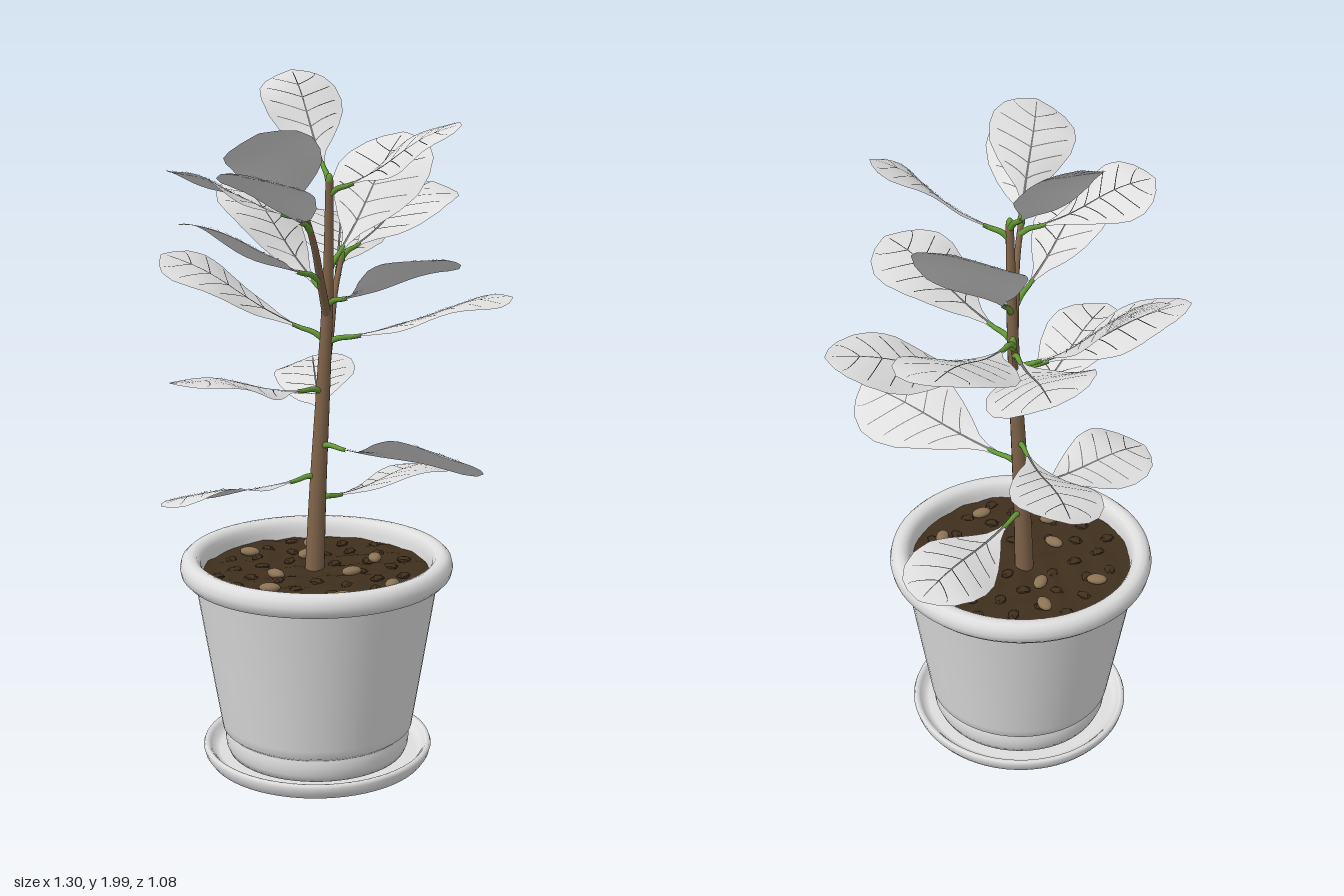
import * as THREE from 'three';
import { mergeGeometries } from 'three/addons/utils/BufferGeometryUtils.js';

const V = (x, y, z) => new THREE.Vector3(x, y, z);
const mat = (name, color, side = THREE.FrontSide) => {
  const m = new THREE.MeshStandardMaterial({ color, side });
  m.name = name;
  return m;
};

// Tube through points, narrowing from r0 to r1
function taperedTube(points, r0, r1, sides = 12, steps = 16) {
  const curve = new THREE.CatmullRomCurve3(points);
  const geo = new THREE.TubeGeometry(curve, steps, 1, sides);
  const pos = geo.attributes.position;
  const p = V(0, 0, 0);
  for (let i = 0; i < pos.count; i++) {
    const t = Math.floor(i / (sides + 1)) / steps;
    const c = curve.getPointAt(t);
    p.fromBufferAttribute(pos, i).sub(c).multiplyScalar(r0 + (r1 - r0) * t).add(c);
    pos.setXYZ(i, p.x, p.y, p.z);
  }
  return geo;
}

// Half-width of the fiddle-shaped blade along its length
const OUTLINE = [[0, 0.05], [0.08, 0.08], [0.17, 0.2], [0.28, 0.46], [0.4, 0.7], [0.54, 0.92],
  [0.68, 1], [0.8, 0.94], [0.9, 0.72], [0.96, 0.42], [1, 0.04]];
function outlineAt(u) {
  const i = Math.max(1, OUTLINE.findIndex(([t]) => t >= u));
  const [a, b] = [OUTLINE[i - 1], OUTLINE[i]];
  return a[1] + (b[1] - a[1]) * (u - a[0]) / (b[0] - a[0]);
}

// Returns a function (u along, v across) -> point on the blade
function bladeSurface(start, tip, width, roll, seed) {
  const along = tip.clone().sub(start);
  const side = along.clone().cross(V(0, 1, 0)).normalize()
    .applyAxisAngle(along.clone().normalize(), -roll);
  if (Math.sign(side.y) !== Math.sign(roll)) side.applyAxisAngle(along.clone().normalize(), 2 * roll);
  const up = side.clone().cross(along).normalize();
  return (u, v, lift = 0) => {
    const w = outlineAt(u);
    const h = 0.008 * Math.sin(Math.PI * u) - 0.009 * Math.sin(2 * Math.PI * u)
      - 0.01 * v * v * w + 0.014 * v * w * Math.sin(7 * u + seed) + lift;
    return start.clone().addScaledVector(along, u)
      .addScaledVector(side, v * w * width / 2).addScaledVector(up, h);
  };
}

// Grid of quads from a list of equally long rows of points
function gridGeometry(rows) {
  const n = rows[0].length, index = [];
  for (let i = 0; i < rows.length - 1; i++) for (let j = 0; j < n - 1; j++) {
    const a = i * n + j;
    index.push(a, a + 1, a + n, a + 1, a + n + 1, a + n);
  }
  const geo = new THREE.BufferGeometry().setFromPoints(rows.flat());
  geo.setIndex(index);
  geo.computeVertexNormals();
  return geo;
}

function bladeGeometry(surface) {
  const us = OUTLINE.flatMap(([u], i) => i ? [(u + OUTLINE[i - 1][0]) / 2, u] : [u]);
  return gridGeometry(us.map(u => [-1, -0.75, -0.5, -0.25, 0, 0.25, 0.5, 0.75, 1].map(v => surface(u, v))));
}

// Tapering midrib and paired side veins lying just above the blade
function veinGeometry(surface) {
  const strip = (u0, v0, u1, v1, half0, half1) => {
    const rows = [];
    for (let i = 0; i <= 12; i++) {
      const t = i / 12, u = u0 + (u1 - u0) * t, v = v0 + (v1 - v0) * t;
      const p = surface(u, v, 0.003);
      const dir = surface(Math.min(1, u + 0.01), v + (v1 - v0) * 0.02, 0.003).sub(p);
      const across = surface(u, v + 0.1, 0.003).sub(p);
      const normal = across.clone().cross(dir).normalize();
      const s = dir.cross(normal).normalize().multiplyScalar(half0 + (half1 - half0) * t);
      rows.push([p.clone().sub(s), p.clone().add(s)]);
    }
    return gridGeometry(rows);
  };
  const parts = [strip(0, 0, 0.96, 0, 0.0042, 0.0012)];
  for (let i = 0; i < 5; i++) for (const s of [-1, 1]) {
    const u = 0.26 + i * 0.135;
    parts.push(strip(u, 0, u + 0.12, s * 0.82, 0.0018, 0.0014));
  }
  return mergeGeometries(parts);
}

export function createModel() {
  const model = new THREE.Group();
  const pottery = mat('pottery', 0xdedede, THREE.DoubleSide);
  const foliage = mat('leaf', 0xdedede, THREE.DoubleSide);
  const vein = mat('vein', 0x737373, THREE.DoubleSide);
  const bark = mat('bark', 0x80644a);
  const green = mat('green stem', 0x659a36);
  const earth = mat('soil', 0x3f2f1d);
  const pebble = mat('pebble', 0x8c7355);

  const add = (name, geo, material, parent = model) => {
    const mesh = new THREE.Mesh(geo, material);
    mesh.name = name;
    parent.add(mesh);
    return mesh;
  };
  const lathe = (pts) => new THREE.LatheGeometry(pts.map(([r, y]) => new THREE.Vector2(r, y)), 64);

  // Pot, saucer and soil share one axis
  const container = new THREE.Group();
  container.name = 'container';
  container.position.set(-0.095, 0, -0.045);
  model.add(container);
  add('saucer', lathe([[0, 0], [0.3, 0], [0.304, 0.001], [0.322, 0.008], [0.333, 0.024], [0.338, 0.042],
    [0.334, 0.052], [0.324, 0.052], [0.317, 0.044], [0.305, 0.028], [0.29, 0.024], [0, 0.024]]), pottery, container);
  add('pot', lathe([[0, 0.03], [0.262, 0.03], [0.27, 0.05], [0.272, 0.07], [0.271, 0.09], [0.268, 0.095],
    [0.27, 0.098], [0.28, 0.106], [0.284, 0.13], [0.312, 0.3], [0.353, 0.555], [0.356, 0.56], [0.36, 0.56],
    [0.38, 0.563], [0.392, 0.576], [0.396, 0.595], [0.391, 0.615], [0.378, 0.627], [0.362, 0.629],
    [0.347, 0.624], [0.337, 0.61], [0.333, 0.59], [0.325, 0.52]]), pottery, container);
  const soilGeo = new THREE.RingGeometry(0.001, 0.334, 40, 10).rotateX(-Math.PI / 2);
  const sp = soilGeo.attributes.position;
  for (let i = 0; i < sp.count; i++) {
    sp.setY(i, 0.572 + 0.007 * Math.sin(sp.getX(i) * 47) * Math.cos(sp.getZ(i) * 53));
  }
  soilGeo.computeVertexNormals();
  add('soil', soilGeo, earth, container);
  // Clods of earth and scattered pebbles
  for (let i = 0; i < 36; i++) {
    const a = i * 2.4, r = 0.05 + 0.25 * Math.sqrt((i + 0.5) / 36);
    const clod = add('clod', new THREE.IcosahedronGeometry(0.02, 0), earth, container);
    clod.position.set(r * Math.cos(a), 0.573, r * Math.sin(a));
    clod.scale.set(1.2, 0.5, 0.9);
    clod.rotation.y = i * 1.7;
  }
  [[-0.14, 0.22], [0.18, 0.07], [-0.02, -0.25], [0.075, -0.11], [-0.12, -0.05], [0.04, 0.1],
    [0.16, -0.17], [-0.22, 0.02], [0.03, 0.26]].forEach(([x, z], i) => {
    const stone = add('pebble', new THREE.SphereGeometry(0.025, 12, 8), pebble, container);
    stone.position.set(x, 0.583, z);
    stone.scale.set(1.25, 0.55, 0.8);
    stone.rotation.y = -0.6 + i * 1.3;
  });

  // Trunk and two branches, each ending in a green bud
  const wood = (name, points, r0, r1, steps) => {
    add(name, taperedTube(points, r0, r1, 14, steps), bark);
    const bud = add('bud', new THREE.SphereGeometry(0.011, 10, 8), green);
    bud.position.copy(points[points.length - 1]);
    bud.scale.y = 2;
  };
  wood('trunk', [V(-0.08, 0.56, -0.066), V(-0.072, 0.8, -0.06), V(-0.06, 1.15, -0.045),
    V(-0.055, 1.4, -0.033), V(-0.068, 1.7, -0.015)], 0.029, 0.011, 30);
  wood('rightBranch', [V(-0.06, 1.14, -0.045), V(0.0, 1.25, -0.075), V(0.06, 1.36, -0.11),
    V(0.115, 1.46, -0.13)], 0.014, 0.008, 16);
  wood('leftBranch', [V(-0.057, 1.32, -0.036), V(-0.11, 1.42, -0.01), V(-0.17, 1.53, 0.02),
    V(-0.23, 1.63, 0.04)], 0.013, 0.008, 16);

  // Leaves: stem base, tip, blade width, sideways roll
  const leaves = [
    [[-0.067, 1.69, -0.016], [0.1, 1.99, -0.31], 0.24, 0.1],
    [[-0.067, 1.66, -0.018], [0.06, 1.86, 0.34], 0.23, -0.35],
    [[-0.22, 1.62, 0.038], [-0.53, 1.86, 0.16], 0.25, -0.3],
    [[-0.2, 1.58, 0.03], [-0.65, 1.77, 0.24], 0.25, 0.22],
    [[-0.06, 1.25, -0.041], [-0.29, 1.48, -0.46], 0.28, 0.1],
    [[-0.12, 1.43, -0.007], [-0.61, 1.63, -0.01], 0.25, 0.08],
    [[-0.062, 1.1, -0.048], [-0.62, 1.21, -0.05], 0.25, 0.05],
    [[-0.071, 0.85, -0.058], [-0.51, 0.82, -0.25], 0.24, -0.25],
    [[-0.068, 0.94, -0.055], [-0.14, 1.0, 0.54], 0.3, 0.4],
    [[-0.073, 0.775, -0.06], [0.45, 0.785, -0.03], 0.25, 0.18],
    [[-0.066, 1.02, -0.052], [0.31, 1.1, -0.42], 0.25, 0.2],
    [[-0.056, 1.35, -0.036], [-0.13, 1.53, 0.43], 0.28, 0.05],
    [[-0.059, 1.24, -0.042], [0.3, 1.37, 0.35], 0.28, 0.05],
    [[-0.21, 1.6, 0.034], [-0.45, 1.74, -0.26], 0.26, -0.12],
    [[-0.056, 1.44, -0.031], [0.34, 1.81, -0.08], 0.3, -0.1],
    [[0.11, 1.455, -0.13], [0.645, 1.635, -0.21], 0.31, -0.05],
    [[0.09, 1.41, -0.122], [0.45, 1.54, -0.43], 0.29, -0.22],
    [[0.04, 1.33, -0.1], [0.09, 1.67, -0.54], 0.26, 0.05],
  ];
  leaves.forEach(([b, t, width, roll], i) => {
    const base = V(...b), tip = V(...t);
    const start = base.clone().lerp(tip, 0.14);
    const surface = bladeSurface(start, tip, width, roll, i * 1.9);
    const leaf = new THREE.Group();
    leaf.name = 'leaf';
    model.add(leaf);
    const bow = base.clone().lerp(start, 0.5).add(V(0, 0.006, 0));
    add('leafStem', taperedTube([base, bow, start, surface(0.06, 0, -0.001)], 0.0095, 0.006, 8, 8), green, leaf);
    add('blade', bladeGeometry(surface), foliage, leaf);
    add('veins', veinGeometry(surface), vein, leaf);
  });
  return model;
}
